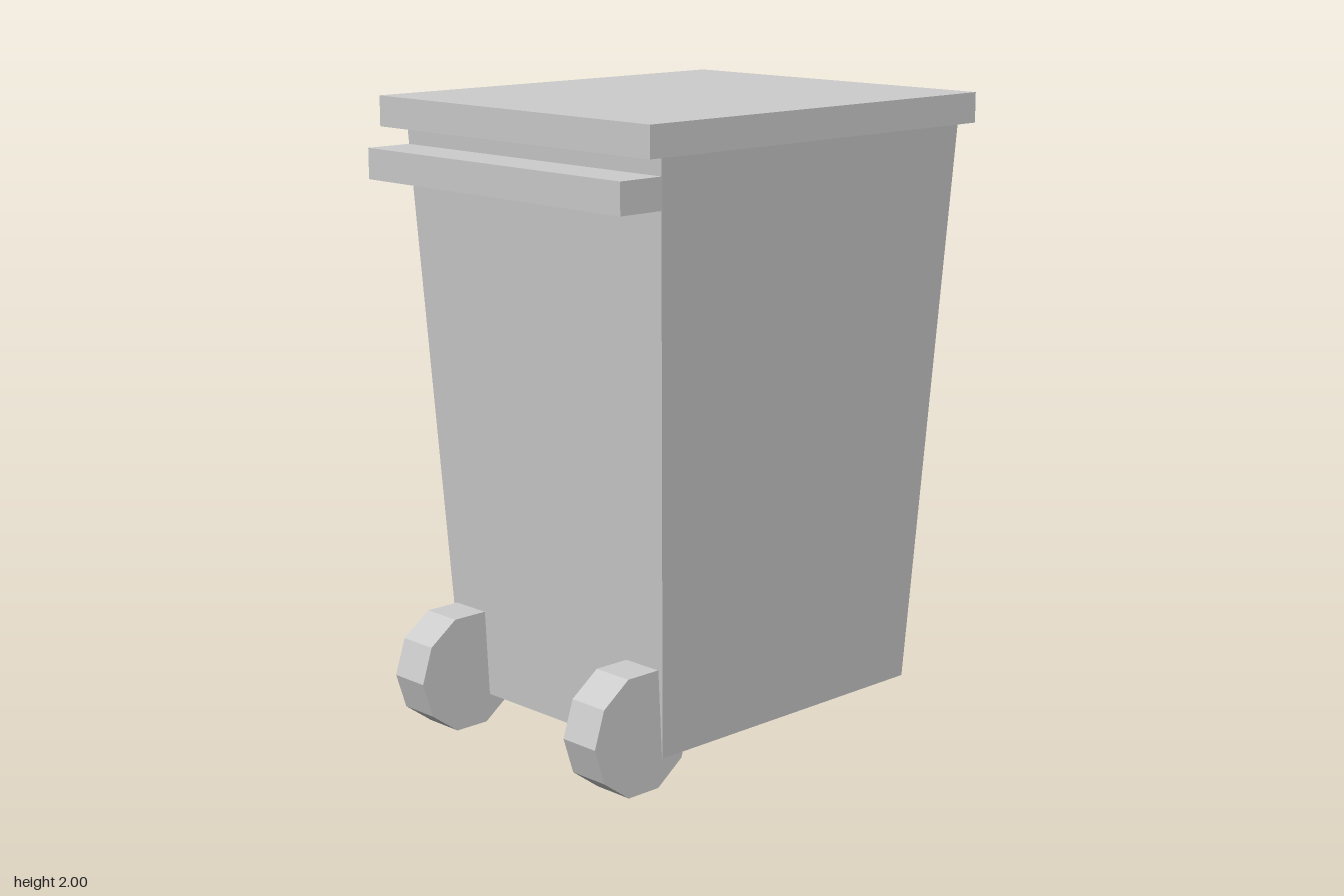
import * as THREE from 'three';

export function createModel() {
  const model = new THREE.Group();
  model.name = 'wheeledBin';
  const greyPlastic = new THREE.MeshStandardMaterial({ color: 0xcccccc });
  greyPlastic.name = 'greyPlastic';

  const add = (name, geometry, x, y, z) => {
    const mesh = new THREE.Mesh(geometry, greyPlastic);
    mesh.name = name;
    mesh.position.set(x, y, z);
    model.add(mesh);
  };

  // A box given by its lower and upper corners
  const addBox = (name, [x0, y0, z0], [x1, y1, z1]) =>
    add(name, new THREE.BoxGeometry(x1 - x0, y1 - y0, z1 - z0),
      (x0 + x1) / 2, (y0 + y1) / 2, (z0 + z1) / 2);

  // Body: a box whose bottom narrows on all four sides
  const body = new THREE.BoxGeometry(1, 1, 1);
  const p = body.attributes.position;
  for (let i = 0; i < p.count; i++) {
    const top = p.getY(i) > 0;
    const front = p.getZ(i) > 0;
    p.setXYZ(i,
      Math.sign(p.getX(i)) * (top ? 0.566 : 0.47),
      top ? 1.905 : 0.09,
      front ? (top ? 0.576 : 0.48) : (top ? -0.71 : -0.612));
  }
  body.computeVertexNormals();
  add('body', body, 0, 0, 0);

  // Lid and push handle
  addBox('lid', [-0.602, 1.905, -0.75], [0.602, 2, 0.653]);
  addBox('handle', [-0.564, 1.752, 0.57], [0.564, 1.848, 0.73]);

  // Ten-sided wheels with a corner pointing forward
  const wheel = new THREE.CylinderGeometry(0.194, 0.194, 0.137, 10).toNonIndexed();
  wheel.rotateZ(Math.PI / 2);
  wheel.computeVertexNormals();
  for (const [name, side] of [['leftWheel', 1], ['rightWheel', -1]]) {
    add(name, wheel, side * 0.399, 0.185, 0.556);
  }

  return model;
}
